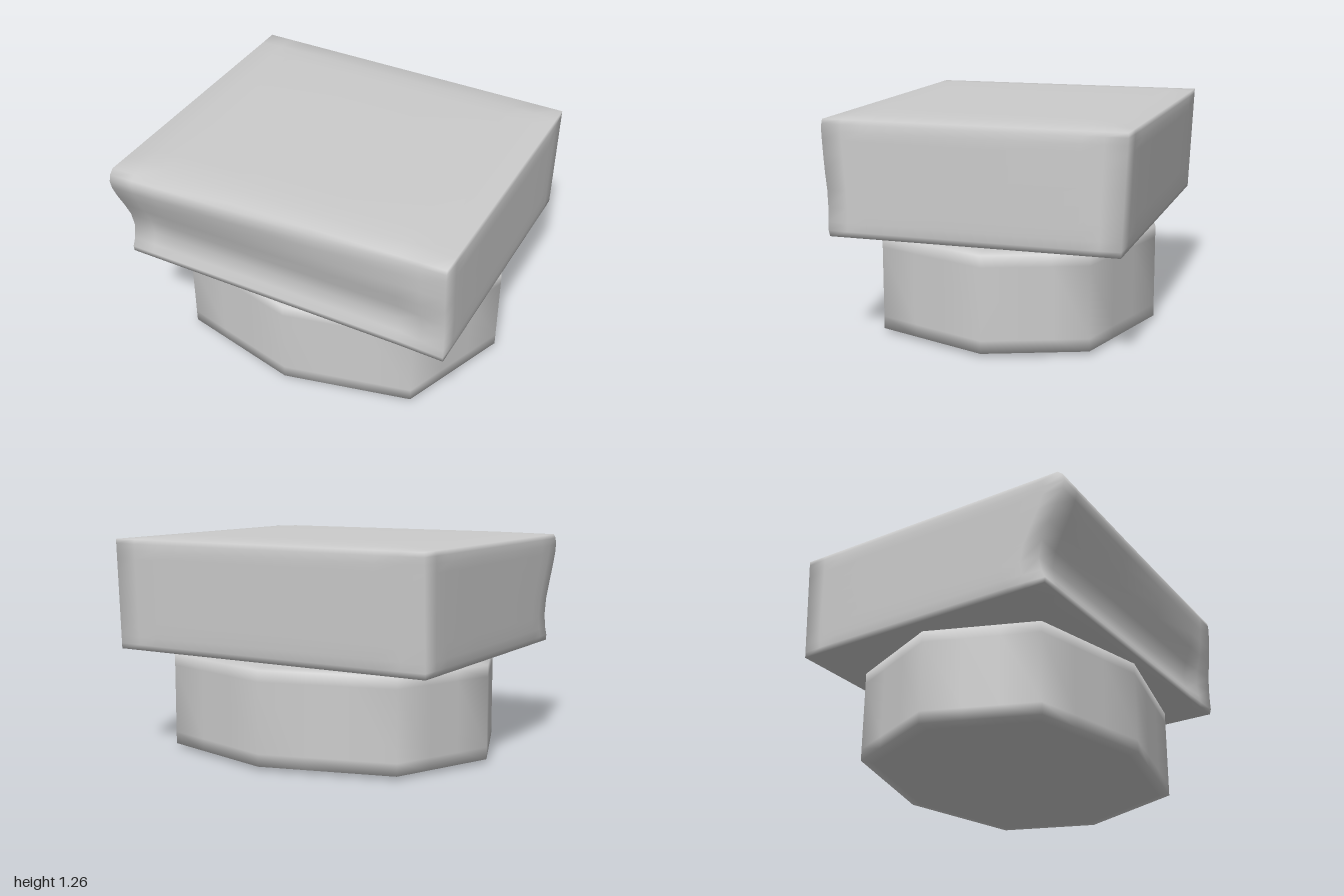
import * as THREE from 'three';
import { mergeVertices } from 'three/addons/utils/BufferGeometryUtils.js';

const material = new THREE.MeshStandardMaterial({ color: 0xcccccc });

// Share vertices so that normals blend softly over every edge.
function smooth(geometry) {
  geometry.deleteAttribute('normal');
  geometry.deleteAttribute('uv');
  const merged = mergeVertices(geometry, 1e-5);
  merged.computeVertexNormals();
  return merged;
}

// 0 inside the limit, rising to 1 at the rim.
const rim = (t, limit) => Math.max(0, Math.abs(t) - limit) / (1 - limit);

// Square slab with softly domed faces; its front is scooped and flattens at the +x end.
function createSlab() {
  const across = [-1, -0.86, -0.72, -0.25, 0.25, 0.72, 0.86, 1];
  // height, front z at -x end, front z at +x end
  const rows = [
    [-1, 0.755, 0.76], [-0.9, 0.758, 0.768], [-0.75, 0.735, 0.766], [-0.5, 0.72, 0.765],
    [-0.2, 0.74, 0.768], [0.1, 0.785, 0.778], [0.4, 0.835, 0.785], [0.65, 0.87, 0.79],
    [0.8, 0.88, 0.792], [0.92, 0.87, 0.79], [1, 0.84, 0.785],
  ];
  const nx = across.length - 1, ny = rows.length - 1;
  const geometry = new THREE.BoxGeometry(2, 2, 2, nx, ny, nx);
  const p = geometry.attributes.position;
  const step = (t, n) => Math.round((t + 1) / 2 * n);
  for (let i = 0; i < p.count; i++) {
    const u = across[step(p.getX(i), nx)];
    const w = across[step(p.getZ(i), nx)];
    const [v, frontA, frontB] = rows[step(p.getY(i), ny)];
    const edge = Math.max(rim(u, 0.72), rim(w, 0.72));
    // The hollow keeps its depth until near the +x end; the overhang tapers evenly.
    const blend = frontB > frontA ? rim(Math.max(u, 0), 0.72) : (u + 1) / 2;
    const front = THREE.MathUtils.lerp(frontA, frontB, blend);
    const back = -0.866 - 0.014 * v + 0.012 * Math.max(rim(u, 0.72), rim(v, 0.85));
    p.setXYZ(i,
      u * (1 - 0.012 * Math.max(rim(v, 0.85), rim(w, 0.72))),
      0.918 + v * (0.338 - 0.02 * edge),
      THREE.MathUtils.lerp(back, front, (w + 1) / 2));
  }
  const mesh = new THREE.Mesh(smooth(geometry), material);
  mesh.name = 'slab';
  return mesh;
}

// Eight-sided block, lofted from scaled copies of one outline.
function createBase() {
  const corners = [
    [0.73, 0.57], [0.98, -0.09], [0.77, -0.63], [0.04, -0.83],
    [-0.71, -0.62], [-0.96, -0.03], [-0.72, 0.57], [0, 0.74],
  ];
  // Extra points along each side control how far the shading blends.
  const outline = [];
  corners.forEach(([x, z], i) => {
    const [x2, z2] = corners[(i + 1) % corners.length];
    for (const t of [0, 0.35, 0.65]) outline.push([x + (x2 - x) * t, z + (z2 - z) * t]);
  });
  // scale and height of each ring, bottom to top
  const rings = [
    [0.7, 0.002], [0.92, 0.01], [1, 0.02], [1, 0.09],
    [1, 0.49], [1, 0.555], [0.92, 0.562], [0.7, 0.567],
  ];
  const n = outline.length, vertices = [], faces = [];
  for (const [s, y] of rings) {
    for (const [x, z] of outline) vertices.push(x * s, y, z * s);
  }
  const bottom = rings.length * n, top = bottom + 1;
  const last = bottom - n;
  vertices.push(0, 0, 0, 0, 0.569, 0);
  for (let i = 0; i < n; i++) {
    const j = (i + 1) % n;
    for (let r = 0; r < rings.length - 1; r++) {
      const a = r * n + i, b = r * n + j;
      faces.push(a, b, a + n, b, b + n, a + n);
    }
    faces.push(bottom, j, i, top, last + i, last + j);
  }
  const geometry = new THREE.BufferGeometry();
  geometry.setAttribute('position', new THREE.Float32BufferAttribute(vertices, 3));
  geometry.setIndex(faces);
  geometry.computeVertexNormals();
  const mesh = new THREE.Mesh(geometry, material);
  mesh.name = 'base';
  return mesh;
}

export function createModel() {
  const group = new THREE.Group();
  group.name = 'model';
  group.add(createBase(), createSlab());
  return group;
}
